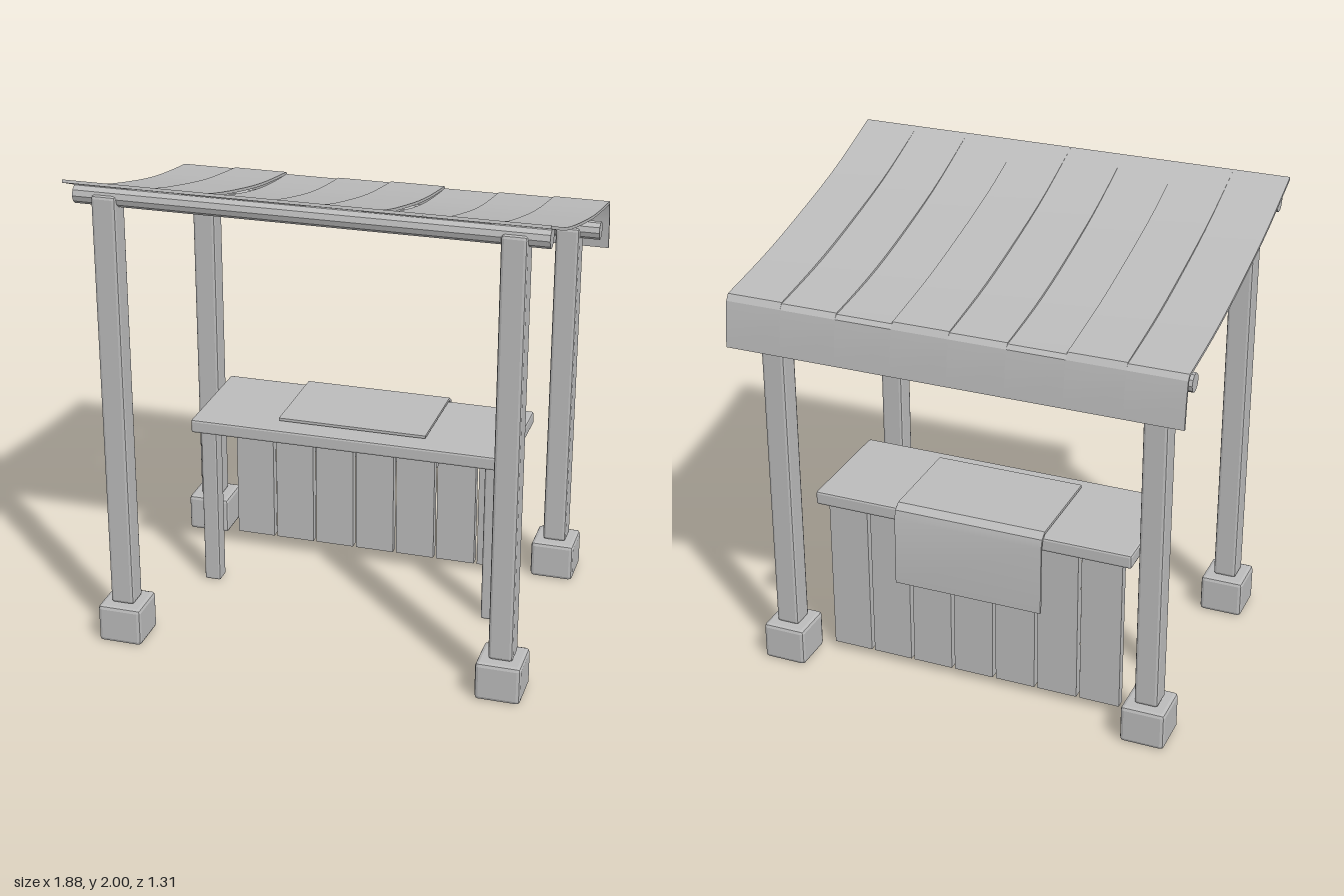
import * as THREE from 'three';
import { toCreasedNormals } from 'three/addons/utils/BufferGeometryUtils.js';
import { RoundedBoxGeometry } from 'three/addons/geometries/RoundedBoxGeometry.js';

const grey = new THREE.MeshStandardMaterial({ color: 0xbbbbbb });
grey.name = 'plain grey';

export function createModel() {
  const model = new THREE.Group();
  model.name = 'marketStall';

  const add = (name, geometry, x = 0, y = 0, z = 0) => {
    const mesh = new THREE.Mesh(geometry, grey);
    mesh.name = name;
    mesh.position.set(x, y, z);
    model.add(mesh);
    return mesh;
  };

  // Box with flat chamfers, standing on y0
  const chamferBox = (name, w, h, d, c, x, y0, z) => {
    const g = new RoundedBoxGeometry(w, h, d, 1, c);
    g.computeVertexNormals();
    return add(name, g, x, y0 + h / 2, z);
  };

  // Thin sheet: a [z, y] line given thickness below it and width along x
  const sheet = (name, line, thickness, x0, x1) => {
    const top = line.map(([z, y]) => new THREE.Vector2(z, y));
    const under = top.map((p, i) => {
      const dir = top[Math.min(i + 1, top.length - 1)].clone().sub(top[Math.max(i - 1, 0)]).normalize();
      return new THREE.Vector2(p.x - dir.y * thickness, p.y + dir.x * thickness);
    });
    // the line runs from front (+z) to back, so its inner side is below
    const shape = new THREE.Shape([...top, ...under.reverse()]);
    let g = new THREE.ExtrudeGeometry(shape, { depth: x1 - x0, bevelEnabled: false });
    g.rotateY(-Math.PI / 2);
    g.translate(x1, 0, 0);
    g = toCreasedNormals(g, 0.4);
    return add(name, g);
  };

  // Four posts on footing blocks, with a round beam across each pair
  for (const [end, z, top] of [['front', 0.565, 1.92], ['back', -0.5, 1.6]]) {
    for (const [side, x] of [['Left', 0.8], ['Right', -0.8]]) {
      chamferBox(`${end}${side}Footing`, 0.186, 0.165, 0.186, 0.016, x, 0, z);
      chamferBox(`${end}${side}Post`, 0.1, top - 0.155, 0.1, 0.013, x, 0.165, z);
    }
    const beam = new THREE.CylinderGeometry(0.038, 0.038, 1.86, 10).rotateZ(Math.PI / 2);
    add(`${end}Beam`, toCreasedNormals(beam, 0.4), 0, top - 0.002, z);
  }

  // Canopy: eight cloth strips that sag by different amounts, then hang down
  const curve = new THREE.SplineCurve([
    [0.655, 1.998], [0.33, 1.886], [0, 1.802], [-0.3, 1.738], [-0.615, 1.69],
  ].map(([z, y]) => new THREE.Vector2(z, y)));
  const sags = [0.01, 0, 0.02, 0.01, 0, 0.02, 0.01, 0];
  const stripWidth = 1.885 / sags.length;
  sags.forEach((sag, i) => {
    const line = curve.getPoints(14).map((p, k) => [p.x, p.y - sag * Math.sin(Math.PI * Math.pow(k / 14, 1.2) * 0.85)]);
    line.push([-0.632, 1.665], [-0.645, 1.59], [-0.655, 1.476]);
    const x0 = -0.943 + i * stripWidth;
    sheet('canopyStrip' + (i + 1), line, 0.012, x0, x0 + stripWidth);
  });

  // Counter top and its two front legs
  chamferBox('counterTop', 1.38, 0.06, 0.51, 0.01, 0, 0.715, -0.195);
  for (const [side, x] of [['Left', 0.622], ['Right', -0.622]]) {
    chamferBox(`counter${side}Leg`, 0.072, 0.715, 0.072, 0.009, x, 0, -0.008);
  }

  // Back panel of spaced planks
  for (let i = -3; i <= 3; i++) {
    add('backPlank' + (i + 4), new THREE.BoxGeometry(0.172, 0.68, 0.038), i * 0.186, 0.375, -0.4);
  }

  // Cloth laid over the counter and hanging down the back
  sheet('counterCloth', [[-0.02, 0.797], [-0.435, 0.797], [-0.465, 0.775], [-0.475, 0.74], [-0.48, 0.44]], 0.012, -0.32, 0.32);

  return model;
}
